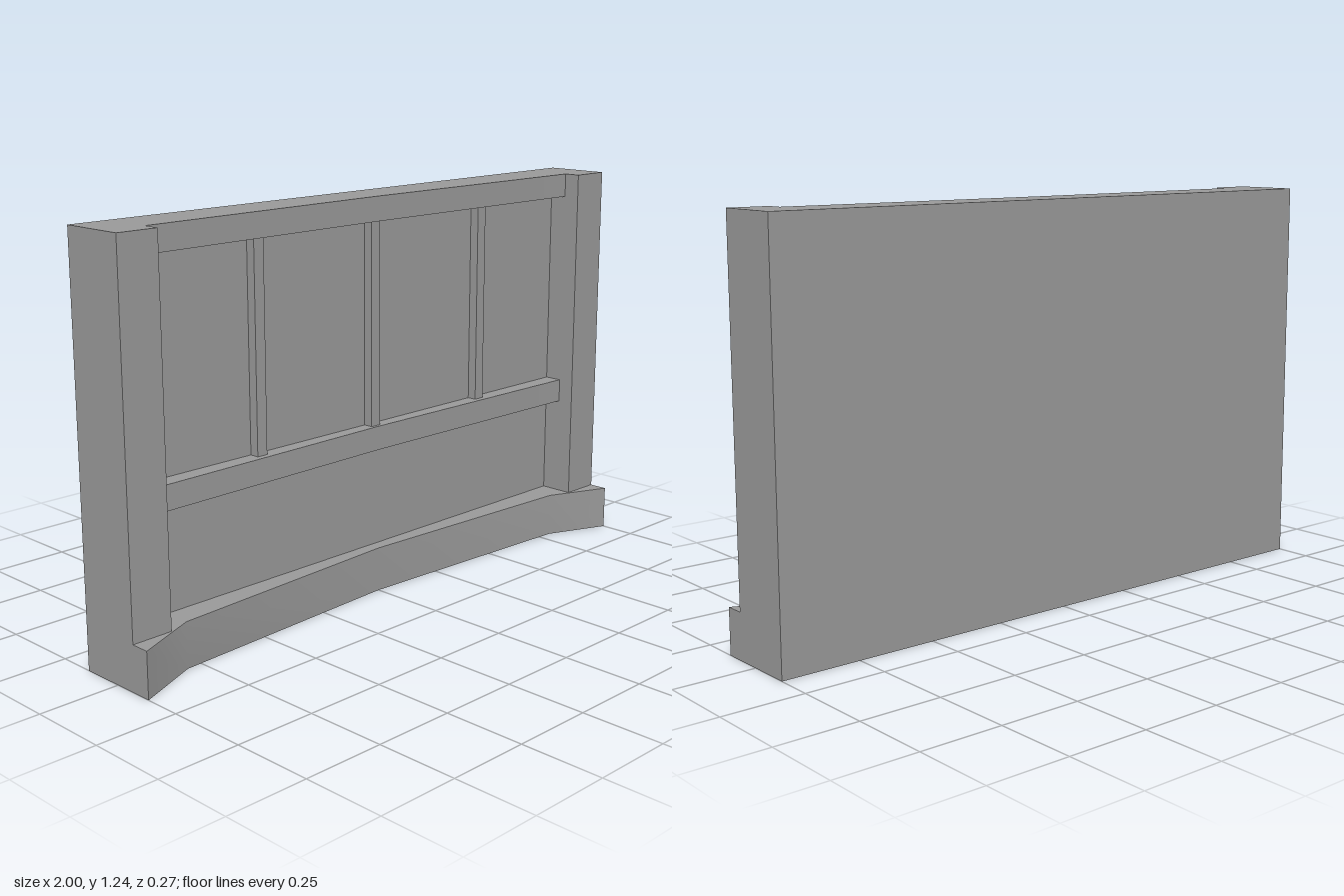
import * as THREE from 'three';
import { toCreasedNormals } from 'three/addons/utils/BufferGeometryUtils.js';

const stone = new THREE.MeshStandardMaterial({ color: 0x999999 });
stone.name = 'grey stone';

const BACK = -0.135, PANEL = -0.035, HEIGHT = 1.24, PLINTH = 0.14, POST_X = 0.87;

export function createModel() {
  const group = new THREE.Group();
  group.name = 'panelledWall';

  const add = (name, geometry) => {
    const mesh = new THREE.Mesh(geometry, stone);
    mesh.name = name;
    group.add(mesh);
  };

  // Box given by its extents on each axis
  const block = (name, x0, x1, y0, y1, z0, z1) => {
    const geometry = new THREE.BoxGeometry(x1 - x0, y1 - y0, z1 - z0);
    geometry.translate((x0 + x1) / 2, (y0 + y1) / 2, (z0 + z1) / 2);
    add(name, geometry);
  };

  // Horizontal slab: straight back at z0, front following [x, z] points
  const slab = (name, front, z0, y0, y1) => {
    const last = front[front.length - 1];
    const outline = [[front[0][0], z0], ...front, [last[0], z0]];
    const shape = new THREE.Shape(outline.map(([x, z]) => new THREE.Vector2(x, -z)));
    const geometry = new THREE.ExtrudeGeometry(shape, { depth: y1 - y0, bevelEnabled: false });
    geometry.rotateX(-Math.PI / 2);
    geometry.translate(0, y0, 0);
    add(name, toCreasedNormals(geometry, 0.6));
  };

  // Plinth with a bowed-in front
  slab('plinth', [[-1, 0.135], [-0.8, 0.05], [0, 0.005], [0.8, 0.05], [1, 0.135]], BACK, 0, PLINTH);

  // Recessed back panel and end posts
  block('backPanel', -POST_X, POST_X, PLINTH, HEIGHT, BACK, PANEL);
  block('rightPost', -1, -POST_X, PLINTH, HEIGHT, BACK, 0.075);
  block('leftPost', POST_X, 1, PLINTH, HEIGHT, BACK, 0.075);

  // Shallow bowed rails
  const railFront = [[-POST_X, 0.022], [0, 0.006], [POST_X, 0.022]];
  slab('topRail', railFront, PANEL, 1.165, HEIGHT);
  slab('middleRail', railFront, PANEL, 0.46, 0.535);

  // Thin upright bars between the rails
  for (const x of [-0.463, -0.002, 0.478]) {
    block('mullion', x - 0.018, x + 0.018, 0.535, 1.165, PANEL, -0.005);
  }
  return group;
}
